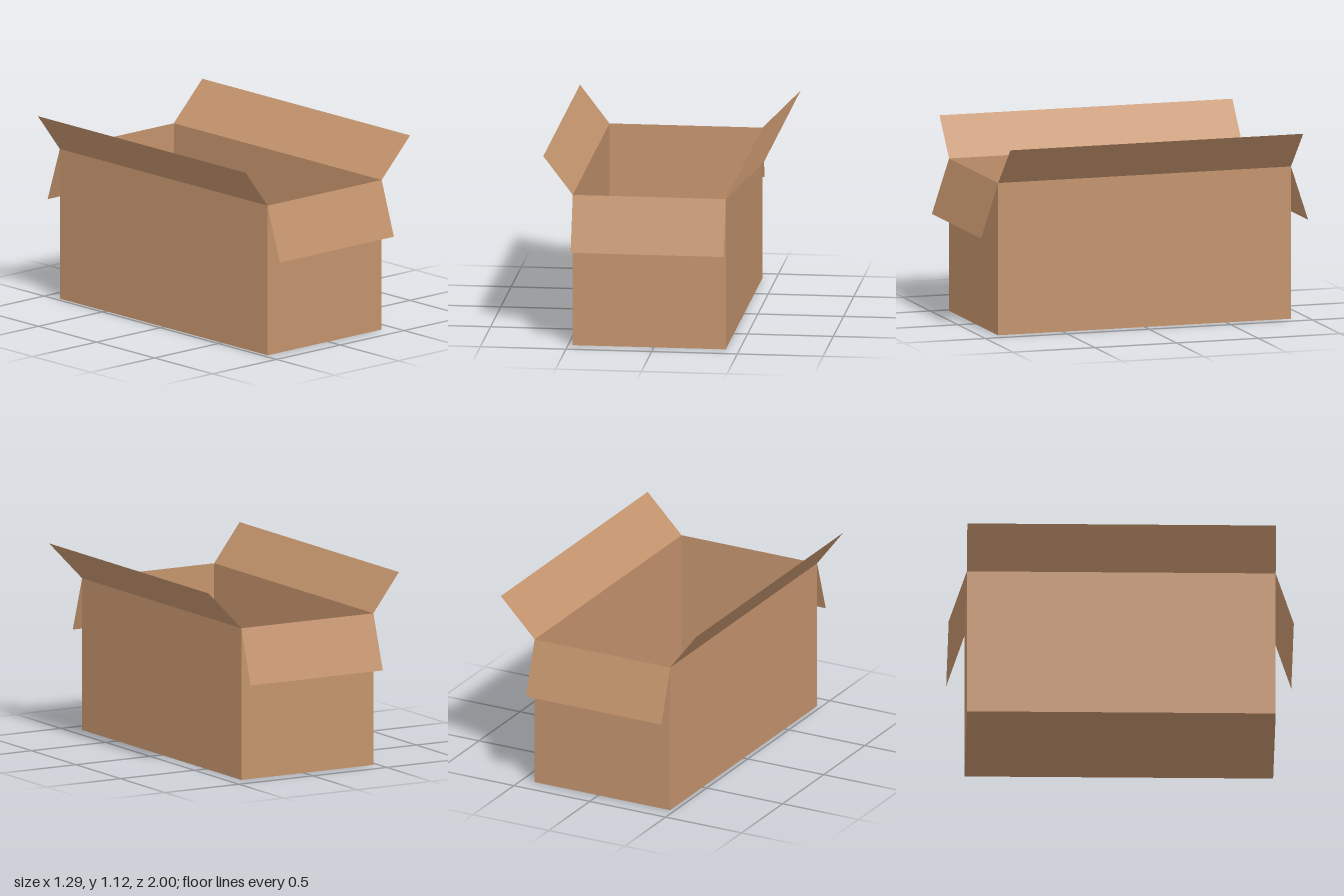
import * as THREE from 'three';

export function createModel() {
  const model = new THREE.Group();
  const cardboard = new THREE.MeshStandardMaterial({ color: 0xc4946d, side: THREE.DoubleSide });
  cardboard.name = 'cardboard';

  // Thin flat sheet from four corners, counter-clockwise seen from outside
  function panel(name, corners) {
    const geometry = new THREE.BufferGeometry();
    geometry.setAttribute('position', new THREE.Float32BufferAttribute(corners.flat(), 3));
    geometry.setIndex([0, 1, 2, 0, 2, 3]);
    geometry.computeVertexNormals();
    const mesh = new THREE.Mesh(geometry, cardboard);
    mesh.name = name;
    model.add(mesh);
  }

  const left = 0.42, right = -0.473, depth = 0.895, height = 0.895;

  // Each side: its two bottom corners [x, z] and the outward reach and rise of its flap
  const sides = [
    { name: 'front', a: [right, depth], b: [left, depth], out: [0, 0.105], rise: -0.32 },
    { name: 'left', a: [left, depth], b: [left, -depth], out: [0.223, 0], rise: 0.228 },
    { name: 'back', a: [left, -depth], b: [right, -depth], out: [0, -0.105], rise: -0.32 },
    { name: 'right', a: [right, -depth], b: [right, depth], out: [-0.172, 0], rise: 0.226 },
  ];

  for (const { name, a, b, out, rise } of sides) {
    const at = ([x, z], y) => [x, y, z];
    const tip = ([x, z]) => [x + out[0], height + rise, z + out[1]];
    panel(name + 'Wall', [at(a, 0), at(b, 0), at(b, height), at(a, height)]);
    panel(name + 'Flap', [at(a, height), at(b, height), tip(b), tip(a)]);
  }

  // Floor, facing down
  panel('floor', [[right, 0, -depth], [left, 0, -depth], [left, 0, depth], [right, 0, depth]]);

  return model;
}
